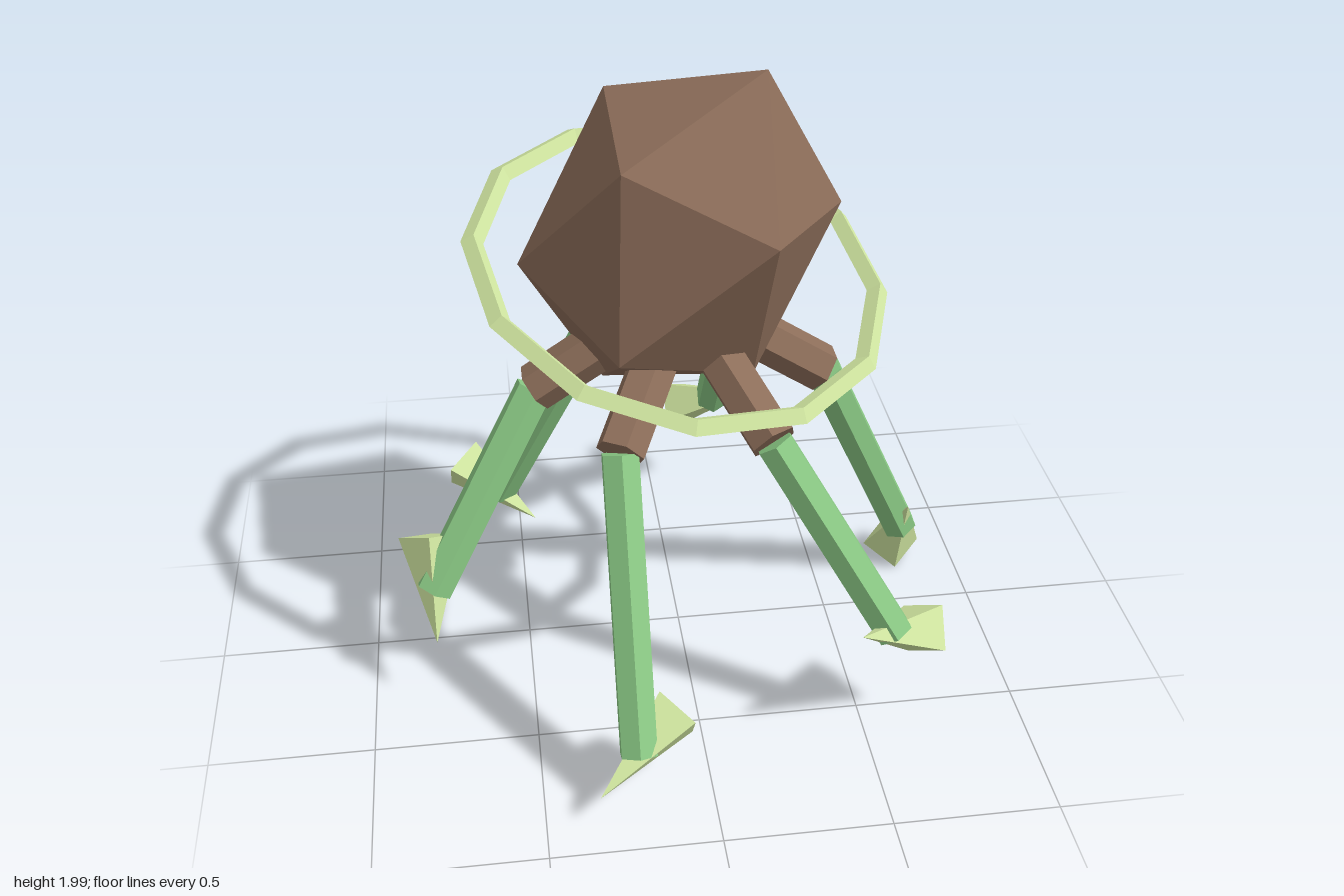
import * as THREE from 'three';

const flat = (color) => new THREE.MeshStandardMaterial({ color, flatShading: true });
const V = (x, y, z) => new THREE.Vector3(x, y, z);
const UP = V(0, 1, 0);

export function createModel() {
  const model = new THREE.Group();
  const brown = flat(0x8d6e5a), green = flat(0x8ccb86), lime = flat(0xd2e8a2);
  const midZ = 0.035;

  const add = (parent, name, geometry, material) => {
    const mesh = new THREE.Mesh(geometry, material);
    mesh.name = name;
    parent.add(mesh);
    return mesh;
  };

  // six-sided rod between two points
  const rod = (parent, name, from, to, radius, material) => {
    const dir = to.clone().sub(from);
    const mesh = add(parent, name, new THREE.CylinderGeometry(radius, radius, dir.length(), 6), material);
    mesh.position.copy(from).add(to).multiplyScalar(0.5);
    mesh.quaternion.setFromUnitVectors(UP, dir.normalize());
  };

  // faceted body, turned and stretched upwards
  const body = add(model, 'body', new THREE.IcosahedronGeometry(1.902, 0), brown);
  body.geometry.applyMatrix4(new THREE.Matrix4().makeBasis(
    V(0.215, 0.06, 0.12), V(0.009, 0.287, -0.017), V(-0.127, 0.025, 0.192)));
  body.geometry.computeVertexNormals();
  body.position.set(0, 1.475, midZ);

  // tilted ring around the body
  const ring = add(model, 'ring', new THREE.TorusGeometry(0.613, 0.033, 4, 12), lime);
  ring.geometry.rotateX(Math.PI / 2 + 0.3).rotateZ(-0.2);
  ring.position.set(0, 1.36, midZ);

  // six legs, each swept 30 degrees sideways, long and short in turn
  for (let i = 0; i < 6; i++) {
    const leg = new THREE.Group();
    leg.name = 'leg' + (i + 1);
    model.add(leg);

    const a = i * Math.PI / 3, sweep = a - Math.PI / 6;
    const around = (r, y) => V(r * Math.cos(a), y, midZ + r * Math.sin(a));
    const knee = around(0.445, 0.98);
    const drop = i % 2 ? 0.58 : 0.78;
    const ankle = knee.clone().add(V(0.4 * Math.cos(sweep), -drop, 0.4 * Math.sin(sweep)));

    rod(leg, 'hip', around(0.18, 1.155), knee, 0.075, brown);
    rod(leg, 'shin', knee, ankle, 0.06, green);

    // pyramid foot
    const foot = add(leg, 'foot', new THREE.ConeGeometry(0.097, 0.33, 4), lime);
    foot.geometry.rotateX(0.57).rotateZ(a);
    foot.position.copy(ankle);
  }
  return model;
}
